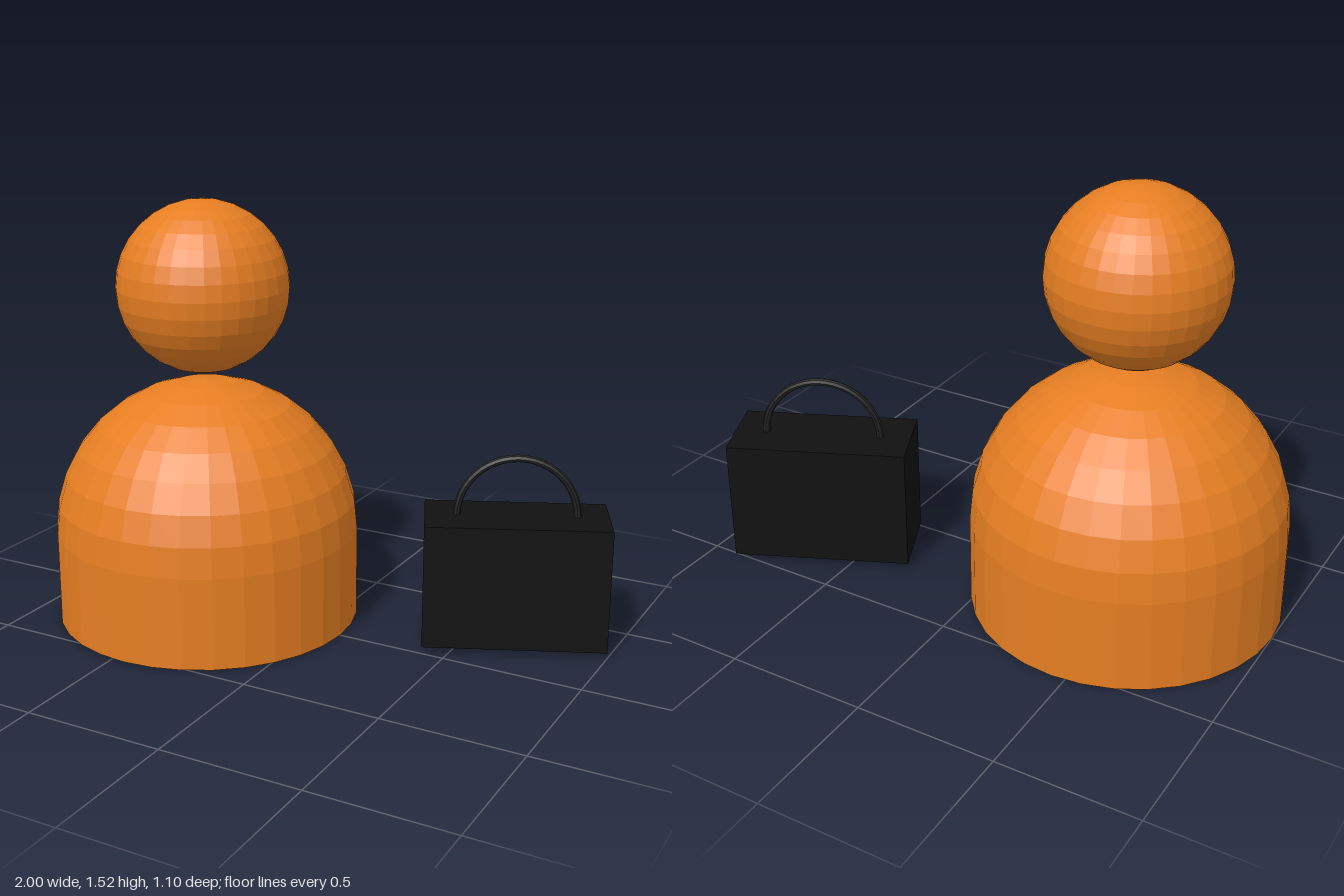
import * as THREE from 'three';

const mat = (color) => new THREE.MeshStandardMaterial({ color, flatShading: true });

function part(name, geometry, material, x, y, z) {
  const mesh = new THREE.Mesh(geometry, material);
  mesh.name = name;
  mesh.position.set(x, y, z);
  return mesh;
}

export function createModel() {
  const model = new THREE.Group();
  const orange = mat(0xe67e22);

  // Figure: domed body with a closed base, and a floating round head
  const R = 0.55, wall = 0.33, rings = 8;
  const profile = [new THREE.Vector2(0, 0), new THREE.Vector2(R, 0)];
  for (let i = 0; i <= rings; i++) {
    const a = (i / rings) * Math.PI / 2;
    profile.push(new THREE.Vector2(i === rings ? 0 : R * Math.cos(a), wall + R * Math.sin(a)));
  }
  const figure = new THREE.Group();
  figure.name = 'figure';
  figure.position.x = -0.45;
  figure.add(
    part('body', new THREE.LatheGeometry(profile, 32), orange, 0, 0, 0),
    part('head', new THREE.SphereGeometry(0.307, 32, 16), orange, 0, 1.216, 0),
  );

  // Handbag: turned box with a half-ring handle
  const bag = new THREE.Group();
  bag.name = 'handbag';
  bag.position.set(0.65, 0.02, -0.268);
  bag.rotation.y = THREE.MathUtils.degToRad(24);
  bag.add(
    part('bagBody', new THREE.BoxGeometry(0.64, 0.445, 0.284), mat(0x111111), 0, 0.2225, 0),
    part('bagHandle', new THREE.TorusGeometry(0.208, 0.0135, 8, 24, Math.PI), mat(0x222222), 0, 0.445, 0),
  );

  model.add(figure, bag);
  return model;
}
